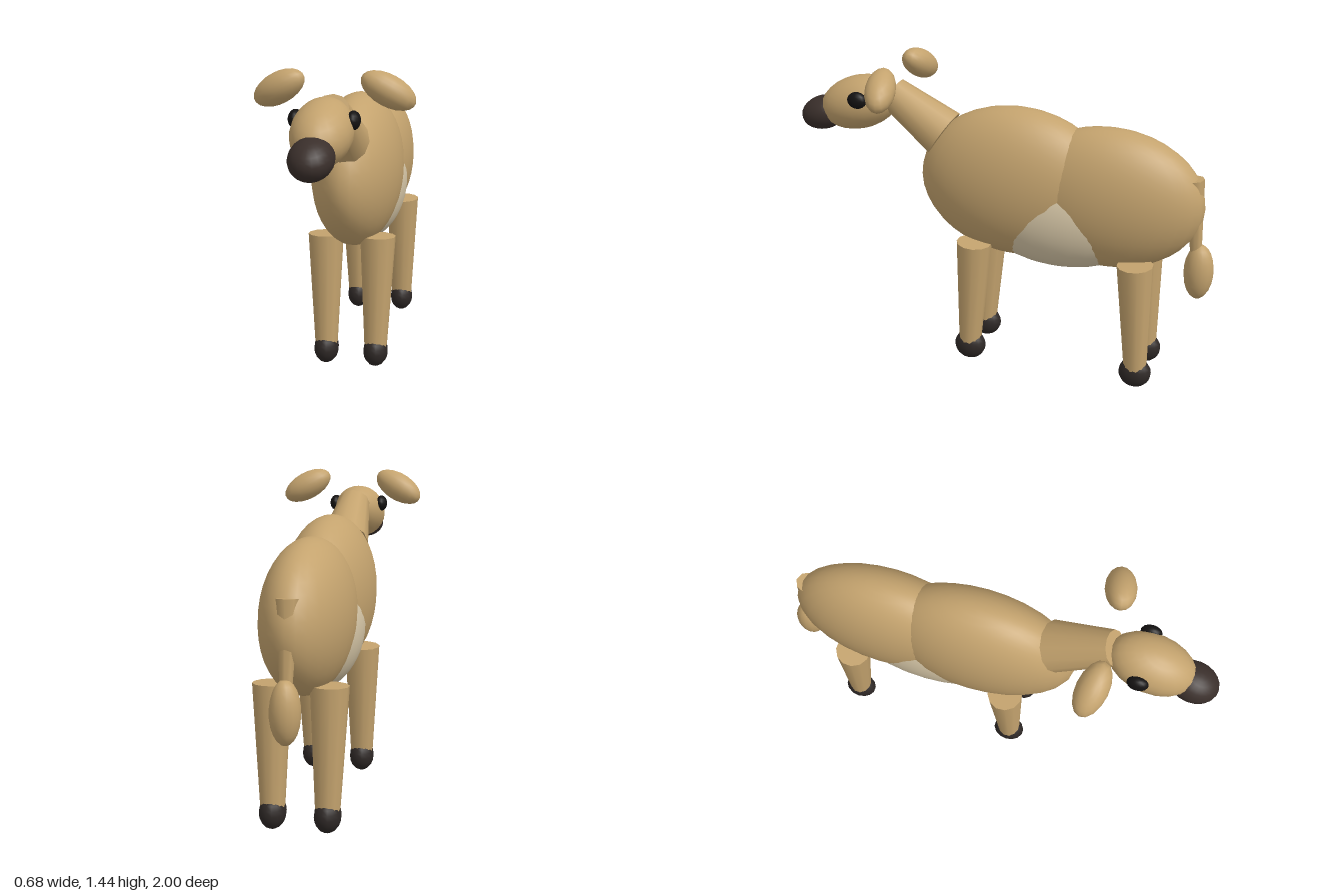
import * as THREE from 'three';

const paint = (color) => new THREE.MeshStandardMaterial({ color });
const tan = paint(0xc4a36e);
const cream = paint(0xd8c8a8);
const brown = paint(0x3a2f2b);
const hoofDark = paint(0x2e2826);
const black = paint(0x141212);

export function createModel() {
  const model = new THREE.Group();

  // Stretched sphere with radii r at position p
  function ellipsoid(name, material, r, p, rot = [0, 0, 0], sides = 20) {
    const mesh = new THREE.Mesh(new THREE.SphereGeometry(1, sides, Math.round(sides * 0.7)), material);
    mesh.name = name;
    mesh.scale.set(...r);
    mesh.position.set(...p);
    mesh.rotation.set(...rot);
    model.add(mesh);
  }

  // Tapered cylinder running from point a to point b
  function limb(name, a, b, ra, rb, sides = 12) {
    const start = new THREE.Vector3(...a);
    const end = new THREE.Vector3(...b);
    const axis = end.clone().sub(start);
    const mesh = new THREE.Mesh(new THREE.CylinderGeometry(rb, ra, axis.length(), sides), tan);
    mesh.name = name;
    mesh.position.copy(start).add(end).multiplyScalar(0.5);
    mesh.quaternion.setFromUnitVectors(new THREE.Vector3(0, 1, 0), axis.normalize());
    model.add(mesh);
  }

  // Body
  ellipsoid('chest', tan, [0.204, 0.356, 0.457], [0, 0.907, -0.07], [0, 0, 0], 28);
  ellipsoid('hindquarters', tan, [0.191, 0.33, 0.437], [0, 0.882, -0.5], [0, 0, 0], 28);
  ellipsoid('belly', cream, [0.19, 0.27, 0.43], [0, 0.79, -0.285], [0, 0, 0], 28);

  // Neck, head and muzzle
  limb('neck', [0, 1.1, 0.28], [0, 1.27, 0.53], 0.115, 0.077);
  ellipsoid('head', tan, [0.127, 0.125, 0.2], [0, 1.21, 0.698], [0.3, 0, 0]);
  ellipsoid('muzzle', brown, [0.092, 0.08, 0.115], [0, 1.14, 0.888], [0.3, 0, 0]);

  for (const s of [1, -1]) {
    const side = s > 0 ? 'left' : 'right';
    ellipsoid(side + 'Eye', black, [0.03, 0.039, 0.047], [s * 0.118, 1.255, 0.658], [0, 0, 0], 14);
    ellipsoid(side + 'Ear', tan, [0.125, 0.066, 0.068], [s * 0.23, 1.353, 0.486], [0, s * 0.2, -s * 0.5], 16);

    // Legs and hooves
    for (const [end, topZ, footZ] of [['Front', 0.095, 0.122], ['Hind', -0.664, -0.69]]) {
      limb(side + end + 'Leg', [s * 0.122, 0.627, topZ], [s * 0.118, 0.1, footZ], 0.082, 0.053);
      ellipsoid(side + end + 'Hoof', hoofDark, [0.058, 0.073, 0.076], [s * 0.118, 0.074, footZ], [0, 0, 0], 14);
    }
  }

  // Tail
  limb('tail', [0, 1.02, -0.877], [0, 0.62, -0.917], 0.048, 0.022, 8);
  ellipsoid('tailTuft', tan, [0.064, 0.133, 0.067], [0, 0.579, -0.93], [0, 0, 0], 16);

  return model;
}
